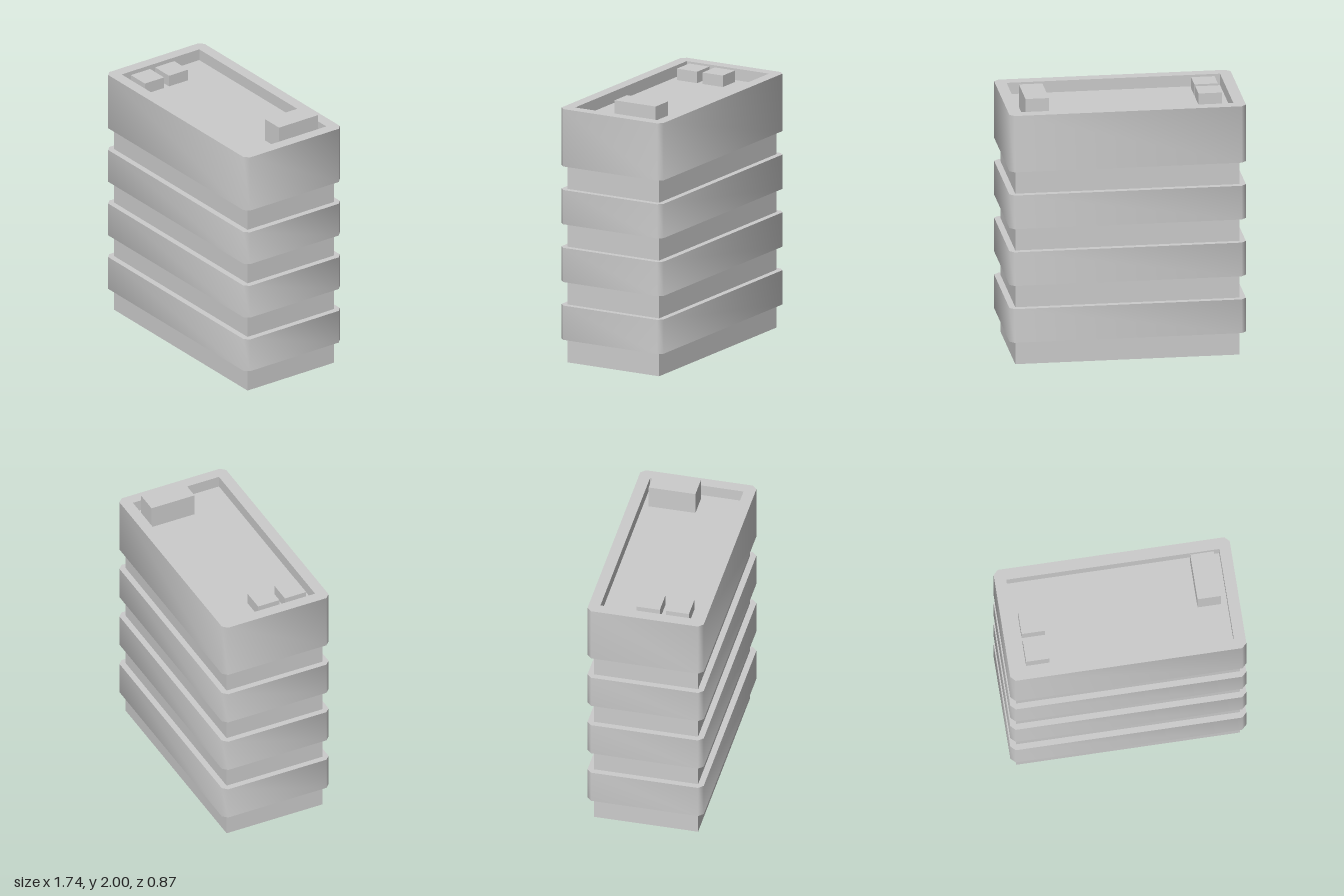
import * as THREE from 'three';
import { toCreasedNormals } from 'three/addons/utils/BufferGeometryUtils.js';

const material = new THREE.MeshStandardMaterial({ color: 0xcccccc });

// Box given by its lower and upper limits on each axis
function addBox(parent, name, [x0, x1], [y0, y1], [z0, z1]) {
  const mesh = new THREE.Mesh(new THREE.BoxGeometry(x1 - x0, y1 - y0, z1 - z0), material);
  mesh.position.set((x0 + x1) / 2, (y0 + y1) / 2, (z0 + z1) / 2);
  mesh.name = name;
  parent.add(mesh);
}

// Chamfered rectangular ring, with softened shading around its outer wall
function addBand(parent, name, y0, y1) {
  const w = 0.87, d = 0.435, c = 0.035, iw = 0.785, id = 0.35;
  const points = (list) => list.map(([x, y]) => new THREE.Vector2(x, y));
  const outline = new THREE.Shape(points([
    [w, -d + c], [w, d - c], [w - c, d], [-w + c, d],
    [-w, d - c], [-w, -d + c], [-w + c, -d], [w - c, -d],
  ]));
  outline.holes.push(new THREE.Path(points([[-iw, -id], [-iw, id], [iw, id], [iw, -id]])));
  const extruded = new THREE.ExtrudeGeometry(outline, { depth: y1 - y0, bevelEnabled: false });
  extruded.rotateX(-Math.PI / 2);
  const mesh = new THREE.Mesh(toCreasedNormals(extruded, Math.PI / 3), material);
  mesh.position.y = y0;
  mesh.name = name;
  parent.add(mesh);
}

export function createModel() {
  const building = new THREE.Group();
  building.name = 'building';

  // Recessed core; its top is the sunken roof deck
  const deck = 1.828;
  addBox(building, 'core', [-0.825, 0.825], [0, deck], [-0.39, 0.39]);

  // Projecting storey bands; the tallest forms the roof parapet
  const storey = 0.435;
  for (let i = 0; i < 3; i++) {
    const y = 0.178 + i * storey;
    addBand(building, 'storeyBand' + (i + 1), y, y + 0.258);
  }
  addBand(building, 'parapetBand', 1.483, 1.915);

  // Rooftop units
  addBox(building, 'stairHouse', [0.565, 0.738], [deck, 2], [-0.308, 0.042]);
  addBox(building, 'roofUnitBack', [-0.738, -0.565], [deck, 1.914], [-0.09, 0.083]);
  addBox(building, 'roofUnitFront', [-0.738, -0.565], [deck, 1.914], [0.128, 0.301]);

  return building;
}
